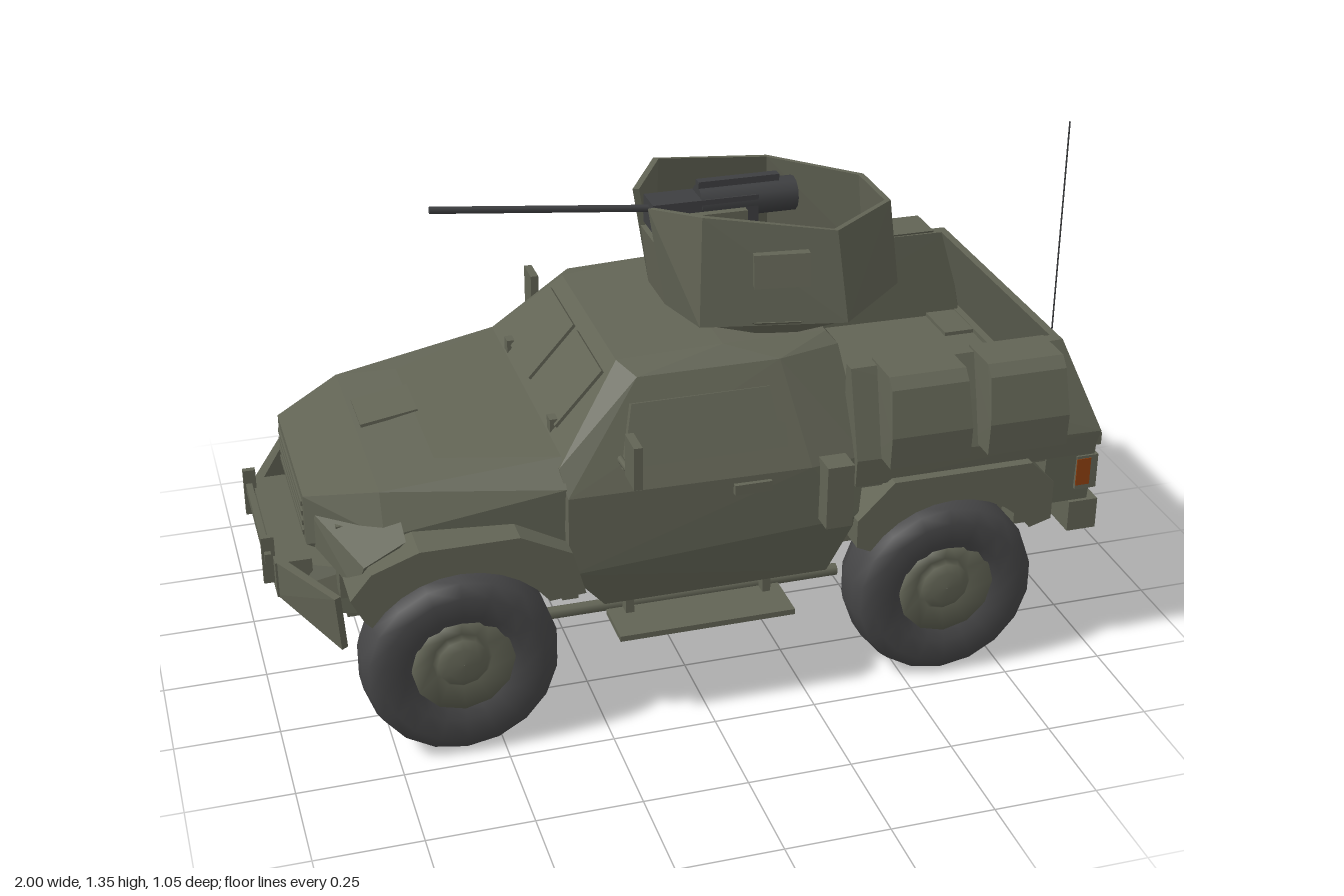
import * as THREE from 'three';
import { ConvexGeometry } from 'three/addons/geometries/ConvexGeometry.js';

export function createModel() {
  const root = new THREE.Group();
  root.name = 'armouredTruck';
  const olive = new THREE.MeshStandardMaterial({ color: 0x626455, side: THREE.DoubleSide });
  olive.name = 'olive';
  const rubber = new THREE.MeshStandardMaterial({ color: 0x464647 });
  rubber.name = 'rubber';
  const gunMetal = new THREE.MeshStandardMaterial({ color: 0x3e3f41 });
  gunMetal.name = 'gunMetal';
  const amber = new THREE.MeshStandardMaterial({ color: 0x8e4010 });
  amber.name = 'amber';

  const add = (name, geo, mat = olive, pos = [0, 0, 0], rot = [0, 0, 0]) => {
    const m = new THREE.Mesh(geo, mat);
    m.name = name;
    m.position.set(...pos);
    m.rotation.set(...rot);
    root.add(m);
    return m;
  };
  // box given by its min/max on each axis
  const box = (name, x, y, z, mat) => add(name,
    new THREE.BoxGeometry(Math.abs(x[1] - x[0]), Math.abs(y[1] - y[0]), Math.abs(z[1] - z[0])), mat,
    [(x[0] + x[1]) / 2, (y[0] + y[1]) / 2, (z[0] + z[1]) / 2]);
  // convex solid from corner points; s flips z
  const solid = (name, pts, s = 1) => add(name,
    new ConvexGeometry(pts.map(([x, y, z]) => new THREE.Vector3(x, y, z * s))));
  const symSolid = (name, pts) => solid(name, [...pts, ...pts.map(([x, y, z]) => [x, y, -z])]);
  // round bar between two points
  const rod = (name, a, b, r, mat = olive, n = 8) => {
    const A = new THREE.Vector3(...a), B = new THREE.Vector3(...b);
    const m = add(name, new THREE.CylinderGeometry(r, r, A.distanceTo(B), n), mat);
    m.position.copy(A).add(B).multiplyScalar(0.5);
    m.quaternion.setFromUnitVectors(new THREE.Vector3(0, 1, 0), B.sub(A).normalize());
    return m;
  };
  const shapeOf = pts => new THREE.Shape(pts.map(p => new THREE.Vector2(...p)));
  const extrude = (shape, depth) =>
    new THREE.ExtrudeGeometry(shape, { depth, bevelEnabled: false }).translate(0, 0, -depth / 2);

  // main body
  symSolid('cab', [
    [-0.34, 0.68, 0.38], [-0.17, 0.87, 0.25], [0.08, 0.887, 0.27], [0.34, 0.878, 0.25],
    [-0.14, 0.855, 0.32], [0.2, 0.86, 0.33], [0.36, 0.855, 0.28], [-0.33, 0.62, 0.42], [0.25, 0.62, 0.432],
    [0.39, 0.62, 0.41], [0.37, 0.47, 0.43], [-0.33, 0.42, 0.42], [-0.24, 0.31, 0.39], [0.31, 0.31, 0.39]]);
  symSolid('hood', [
    [-0.9, 0.605, 0.21], [-0.9, 0.48, 0.21], [-0.74, 0.645, 0.31], [-0.74, 0.55, 0.35],
    [-0.6, 0.675, 0.24], [-0.33, 0.7, 0.36], [-0.33, 0.64, 0.41], [-0.33, 0.5, 0.4], [-0.75, 0.43, 0.28]]);
  box('chassisCore', [-0.84, 0.88], [0.37, 0.56], [-0.29, 0.29]);
  box('hoodHatch', [-0.73, -0.59], [0.662, 0.67], [-0.14, 0]).rotation.z = 0.16;
  for (let i = 0; i < 4; i++) box('grilleBar', [-0.904, -0.89], [0.495 + i * 0.025, 0.507 + i * 0.025], [-0.19, 0.19]);

  // cargo bed
  box('bedFloor', [0.36, 0.95], [0.54, 0.59], [-0.42, 0.42]);
  symSolid('tailPanel', [
    [0.99, 0.6, 0.43], [0.9, 0.83, 0.35], [0.95, 0.6, 0.43], [0.88, 0.83, 0.35]]);
  box('tailSill', [0.93, 0.99], [0.57, 0.602], [-0.43, 0.43]);
  symSolid('tailShelf', [[0.97, 0.42, 0.22], [0.97, 0.48, 0.22], [0.88, 0.42, 0.22], [0.88, 0.55, 0.22]]);
  box('rearBumper', [0.92, 0.995], [0.34, 0.42], [-0.43, 0.43]);
  box('rearCrossMember', [0.84, 0.93], [0.3, 0.345], [-0.3, 0.3]);
  rod('antenna', [0.9, 0.82, 0.3], [0.9, 1.355, 0.3], 0.002, gunMetal, 5);

  // front bumper centre and skid plate
  box('bumperCentre', [-0.975, -0.89], [0.35, 0.44], [-0.21, 0.21]);
  box('bumperBar', [-0.995, -0.98], [0.43, 0.455], [-0.19, 0.19]);
  symSolid('skidPlate', [[-0.95, 0.36, 0.2], [-0.9, 0.42, 0.2], [-0.86, 0.305, 0.24], [-0.8, 0.3, 0.25], [-0.8, 0.42, 0.25]]);

  // arch plates that follow the wheel
  const archShape = (cx, outline) => {
    const s = shapeOf(outline);
    for (let i = 0; i <= 10; i++) {
      const a = THREE.MathUtils.degToRad(35 + i * 11);
      s.lineTo(cx + 0.25 * Math.cos(a), 0.24 + 0.25 * Math.sin(a));
    }
    return s;
  };
  const frontArch = archShape(-0.59, [[-0.81, 0.4], [-0.84, 0.46], [-0.79, 0.52], [-0.68, 0.56], [-0.45, 0.56], [-0.33, 0.5], [-0.3, 0.39]]);
  const rearArch = archShape(0.6, [[0.36, 0.4], [0.36, 0.47], [0.45, 0.56], [0.8, 0.56], [0.86, 0.5], [0.86, 0.4]]);
  const windowShape = shapeOf([[-0.2, -0.075], [-0.165, 0.07], [0.165, 0.07], [0.175, -0.01], [0.195, -0.02], [0.195, -0.075]]);

  // wheel profiles
  const tyreGeo = new THREE.LatheGeometry([[0.11, -0.06], [0.14, -0.078], [0.19, -0.08], [0.222, -0.065], [0.232, -0.03],
    [0.232, 0.03], [0.222, 0.065], [0.19, 0.08], [0.14, 0.078], [0.11, 0.06]].map(p => new THREE.Vector2(...p)), 18);
  const hubGeo = new THREE.LatheGeometry([[0.001, -0.05], [0.122, -0.068], [0.122, 0.068], [0.07, 0.05], [0.06, 0.062],
    [0.04, 0.072], [0.001, 0.074]].map(p => new THREE.Vector2(...p)), 12);

  for (const s of [1, -1]) {
    // fenders and wheels
    add('frontFender', extrude(frontArch, 0.15), olive, [0, 0, s * 0.38]);
    solid('noseCorner', [[-0.89, 0.48, 0.2], [-0.89, 0.57, 0.2], [-0.82, 0.45, 0.4], [-0.8, 0.52, 0.42],
      [-0.7, 0.56, 0.4], [-0.75, 0.5, 0.25], [-0.7, 0.6, 0.3]], s);
    add('rearFender', extrude(rearArch, 0.16), olive, [0, 0, s * 0.375]);
    for (const x of [-0.59, 0.6]) {
      const rot = [s * Math.PI / 2, 0, 0];
      add('tyre', tyreGeo, rubber, [x, 0.237, s * 0.38], rot);
      add('hub', hubGeo, olive, [x, 0.245, s * 0.38], rot);
    }

    // bed sides, rear corners and stowage
    solid('bedSide', [[0.36, 0.55, 0.43], [0.97, 0.55, 0.43], [0.36, 0.62, 0.435], [0.985, 0.61, 0.435],
      [0.36, 0.83, 0.37], [0.9, 0.83, 0.36], [0.36, 0.83, 0.34], [0.9, 0.83, 0.33], [0.36, 0.55, 0.34], [0.95, 0.55, 0.33]], s);
    solid('rearCorner', [[0.85, 0.42, 0.42], [0.97, 0.42, 0.42], [0.98, 0.6, 0.43], [0.85, 0.6, 0.43],
      [0.85, 0.42, 0.2], [0.96, 0.42, 0.24], [0.97, 0.6, 0.2], [0.85, 0.6, 0.2]], s);
    for (const [x0, x1] of [[0.42, 0.62], [0.665, 0.865]])
      solid('stowageBag', [x0, x1].flatMap((x, i) => {
        const q = x + (i ? -0.005 : 0.005);
        return [[x, 0.62, 0.4], [x, 0.62, 0.49], [x, 0.7, 0.495], [q, 0.81, 0.468], [q, 0.835, 0.445], [q, 0.835, 0.335]];
      }), s);
    box('lampHousing', [0.93, 0.985], [0.455, 0.545], [s * 0.34, s * 0.432]);

    // cab side details
    add('sideWindow', extrude(windowShape, 0.02), olive, [0, 0.742, s * 0.38], [-s * 0.395, 0, 0]);
    box('mirror', [-0.205, -0.185], [0.68, 0.785], [s * 0.45, s * 0.525]);
    rod('mirrorArm', [-0.2, 0.69, s * 0.38], [-0.195, 0.69, s * 0.47], 0.008);
    box('doorHandle', [0.06, 0.15], [0.58, 0.605], [s * 0.41, s * 0.44]);
    box('sideBox', [0.27, 0.335], [0.48, 0.64], [s * 0.42, s * 0.483]);
    box('sideStep', [-0.22, 0.21], [0.242, 0.256], [s * 0.33, s * 0.455]);
    for (const x of [-0.18, 0.16]) box('stepBracket', [x, x + 0.02], [0.25, 0.34], [s * 0.33, s * 0.36]);

    // windscreen panes and small hinges
    add('windscreen', new THREE.BoxGeometry(0.17, 0.01, 0.23), olive, [-0.256, 0.778, s * 0.13], [0, 0, 0.84]);
    box('windscreenKnob', [-0.325, -0.29], [0.695, 0.73], [s * 0.205, s * 0.235]);

    // front bumper wings
    solid('bumperWing', [[-0.975, 0.35, 0.2], [-0.975, 0.44, 0.2], [-0.86, 0.31, 0.41], [-0.87, 0.45, 0.42],
      [-0.95, 0.35, 0.2], [-0.95, 0.44, 0.2], [-0.845, 0.31, 0.4], [-0.855, 0.45, 0.41]], s);
    box('towHook', [-1, -0.97], [0.37, 0.49], [s * 0.16, s * 0.175]);

    // underside
    box('frameRail', [-0.82, 0.85], [0.28, 0.33], [s * 0.18, s * 0.23]);
    rod('sideTube', [-0.36, 0.25, s * 0.3], [0.37, 0.25, s * 0.3], 0.015);
    for (const x of [-0.59, 0.6]) solid('springMount', [[x - 0.04, 0.34, 0.18], [x + 0.04, 0.34, 0.18],
      [x - 0.04, 0.34, 0.23], [x + 0.04, 0.34, 0.23], [x, 0.24, 0.19], [x, 0.24, 0.22]], s);
  }

  // lamps
  box('rearLamp', [0.984, 0.99], [0.465, 0.535], [-0.403, -0.348], amber);
  box('sideLamp', [0.93, 0.966], [0.467, 0.538], [0.431, 0.434], amber);

  // axles, differentials and drive shaft
  for (const x of [-0.59, 0.6]) {
    rod('axle', [x, 0.245, -0.34], [x, 0.245, 0.34], 0.035);
    add('differential', new THREE.SphereGeometry(0.065, 10, 6), olive, [x, 0.235, 0]);
  }
  rod('driveShaft', [-0.59, 0.25, 0], [0.6, 0.25, 0], 0.02);
  for (const x of [-0.3, 0, 0.3]) box('crossMember', [x - 0.02, x + 0.02], [0.28, 0.315], [-0.3, 0.3]);

  // turret ring and open shield
  add('turretRing', new THREE.CylinderGeometry(0.27, 0.25, 0.035, 16), olive, [0.27, 0.9, 0]);
  const plan = [ // bottom xyz, top xyz
    [[0.0, 0.91, 0.07], [-0.04, 1.155, 0.065]], [[0.04, 0.91, 0.22], [0.05, 1.175, 0.2]],
    [[0.38, 0.91, 0.29], [0.36, 1.13, 0.255]], [[0.58, 0.905, 0.1], [0.555, 1.12, 0.09]]];
  const mirrored = plan.map(c => c.map(([x, y, z]) => [x, y, -z])).reverse();
  const loop = [...plan, ...mirrored];
  for (let i = 0; i < loop.length - 1; i++) {
    const inset = ([x, y, z]) => [0.27 + (x - 0.27) * 0.95, y, z * 0.95];
    const corners = [...loop[i], ...loop[i + 1]];
    solid('shieldPanel', [...corners, ...corners.map(inset)]);
  }
  symSolid('shieldSill', [[0.0, 0.91, 0.07], [-0.02, 1.06, 0.07], [0.02, 0.91, 0.07], [0.0, 1.06, 0.07]]);
  for (const s of [1, -1]) {
    add('shieldWindow', new THREE.BoxGeometry(0.13, 0.08, 0.04), olive, [0.225, 1.05, s * 0.253], [-s * 0.12, -s * 0.2, 0]);
    box('gunCheek', [0.02, 0.2], [1.05, 1.13], [s * 0.06, s * 0.08]);
  }

  // gun
  rod('barrel', [-0.54, 1.183, 0], [0.02, 1.125, 0], 0.009, gunMetal);
  box('gunBody', [-0.02, 0.24], [1.08, 1.15], [-0.04, 0.04], gunMetal);
  rod('gunBreech', [0.1, 1.13, 0], [0.34, 1.13, 0], 0.042, gunMetal, 12);
  box('gunCover', [0.1, 0.3], [1.15, 1.185], [-0.012, 0.012], gunMetal);
  box('gunPedestal', [0.08, 0.16], [0.9, 1.09], [-0.04, 0.04]);

  return root;
}
